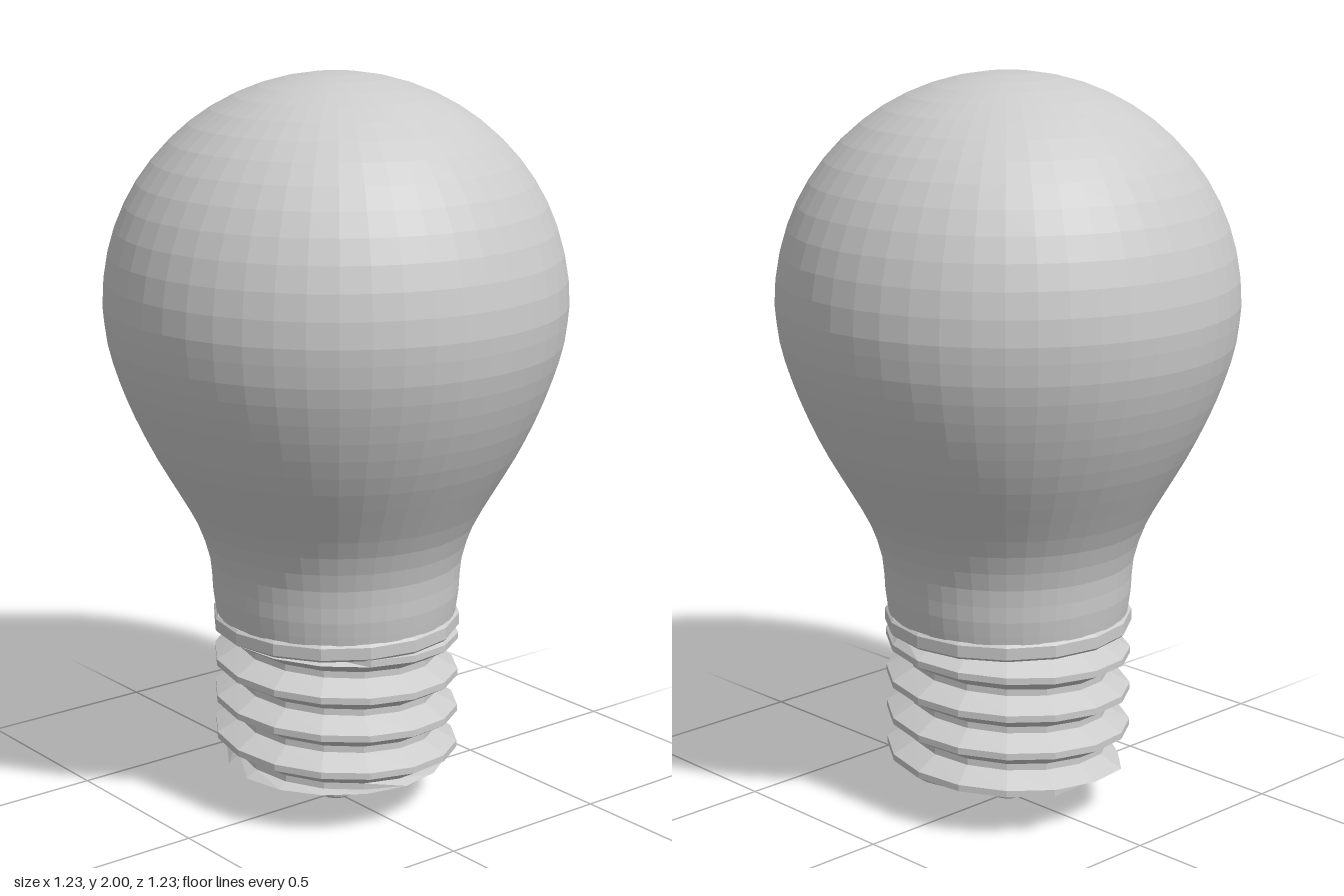
import * as THREE from 'three';

const material = new THREE.MeshStandardMaterial({ color: 0xcccccc, flatShading: true, side: THREE.DoubleSide });

const points = (pairs) => pairs.map(([r, y]) => new THREE.Vector2(r, y));

function addPart(group, name, geometry) {
  const mesh = new THREE.Mesh(geometry, material);
  mesh.name = name;
  group.add(mesh);
}

// Lower glass follows a curve, the crown is a quarter circle
function glassGeometry() {
  const neck = new THREE.SplineCurve(points([
    [0.325, 0.54], [0.335, 0.61], [0.342, 0.7], [0.375, 0.8], [0.43, 0.9],
    [0.488, 1.0], [0.537, 1.1], [0.576, 1.2], [0.604, 1.3], [0.615, 1.4],
  ]));
  const profile = neck.getPoints(18);
  const steps = 14;
  for (let i = 1; i <= steps; i++) {
    const a = (i / steps) * Math.PI / 2;
    profile.push(new THREE.Vector2(i === steps ? 0 : 0.615 * Math.cos(a), 1.4 + 0.6 * Math.sin(a)));
  }
  return new THREE.LatheGeometry(profile, 48);
}

// Zigzag profile lathed, then sheared into a helix and clamped between two rims
function threadGeometry() {
  const pitch = 0.105, low = 0.12, high = 0.51, rim = 0.305, sides = 16;
  const crest = 0.335, root = 0.275, flat = 0.009;
  const profile = [];
  for (let turn = -4; turn <= 4; turn++) {
    const y = 0.385 + turn * pitch;
    profile.push(...points([
      [crest, y - flat], [crest, y + flat],
      [root, y + pitch / 2 - flat], [root, y + pitch / 2 + flat],
    ]));
  }
  const geometry = new THREE.LatheGeometry(profile, sides);
  const pos = geometry.attributes.position;
  for (let i = 0; i < pos.count; i++) {
    const column = Math.floor(i / profile.length);
    const angle = (column / sides) * Math.PI * 2;
    let r = profile[i % profile.length].x;
    let y = pos.getY(i) - pitch * column / sides;
    if (y <= low || y >= high) {
      y = THREE.MathUtils.clamp(y, low, high);
      r = rim;
    }
    pos.setXYZ(i, r * Math.sin(angle), y, r * Math.cos(angle));
  }
  geometry.computeVertexNormals();
  return geometry;
}

export function createModel() {
  const model = new THREE.Group();
  model.name = 'lightBulb';

  addPart(model, 'glass', glassGeometry());

  // Bevelled ring under the glass
  addPart(model, 'collar', new THREE.LatheGeometry(points([
    [0.29, 0.503], [0.33, 0.503], [0.337, 0.51], [0.337, 0.542], [0.33, 0.549], [0.29, 0.549],
  ]), 16));

  addPart(model, 'screwThread', threadGeometry());

  // Shallow cone closing the base
  addPart(model, 'baseCone', new THREE.LatheGeometry(points([[0, 0.052], [0.055, 0.056], [0.305, 0.12]]), 16));

  // Rounded contact at the very bottom
  addPart(model, 'contact', new THREE.LatheGeometry(points([
    [0, 0], [0.042, 0], [0.05, 0.006], [0.054, 0.018], [0.056, 0.062],
  ]), 16));

  return model;
}
